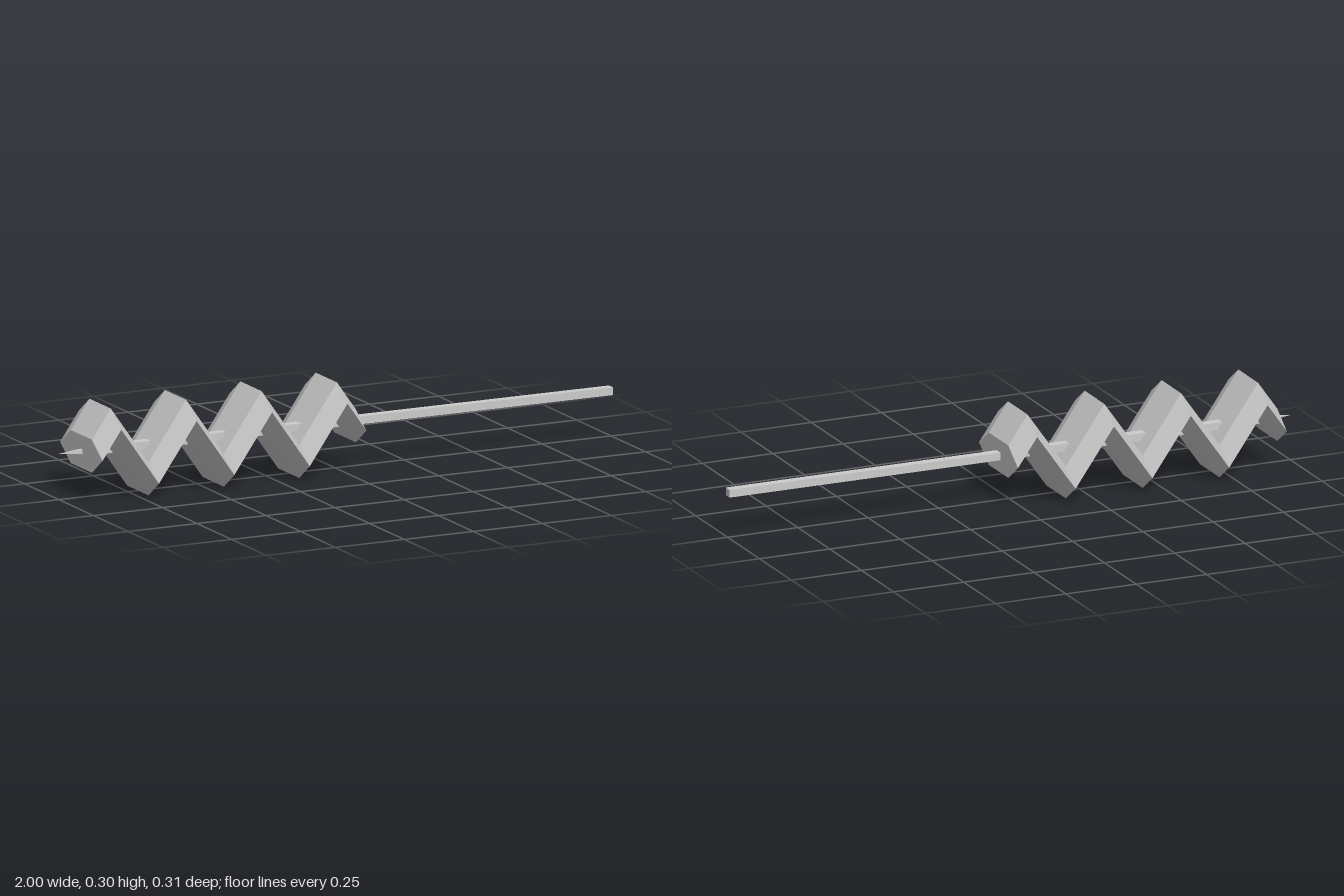
import * as THREE from 'three';

// Skin a series of equal-sized [x, y, z] rings (counter-clockwise seen from +x) and cap both ends
function loft(rings) {
  const pos = [];
  const tri = (a, b, c) => pos.push(...a, ...b, ...c);
  const n = rings[0].length;
  for (let i = 0; i < rings.length - 1; i++) {
    for (let j = 0; j < n; j++) {
      const k = (j + 1) % n;
      const a = rings[i][j], b = rings[i][k], c = rings[i + 1][k], d = rings[i + 1][j];
      tri(a, b, c);
      tri(a, c, d);
    }
  }
  const first = rings[0], last = rings[rings.length - 1];
  for (let j = 1; j < n - 1; j++) {
    tri(first[0], first[j + 1], first[j]);
    tri(last[0], last[j], last[j + 1]);
  }
  const geometry = new THREE.BufferGeometry();
  geometry.setAttribute('position', new THREE.Float32BufferAttribute(pos, 3));
  geometry.computeVertexNormals();
  return geometry;
}

export function createModel() {
  const group = new THREE.Group();
  const grey = new THREE.MeshStandardMaterial({ color: 0xcccccc });
  grey.name = 'lightGrey';
  const midY = 0.153;

  const add = (name, geometry) => {
    const mesh = new THREE.Mesh(geometry, grey);
    mesh.name = name;
    group.add(mesh);
  };

  // Hexagonal section carried along a zigzag: half a fold, seven extremes, half a fold
  const hexagon = [[0.055, -0.077], [0.055, 0.077], [0, 0.153],
    [-0.055, 0.077], [-0.055, -0.077], [0, -0.153]];
  const startX = -0.919, endX = 0.037, swing = 0.097;
  const step = (endX - startX) / 7;
  const path = [[startX, midY]];
  for (let i = 0; i < 7; i++) {
    path.push([startX + (i + 0.5) * step, midY + (i % 2 ? -swing : swing)]);
  }
  path.push([endX, midY]);
  add('zigzagFolds', loft(path.map(([x, cy]) => hexagon.map(([y, z]) => [x, cy + y, z]))));

  // Square skewer with a sharpened tip
  const square = [[1, -1], [1, 1], [-1, 1], [-1, -1]];
  const skewer = [[-1, 0.0005, 0.0005], [-0.85, 0.013, 0.015], [1, 0.013, 0.015]];
  add('skewer', loft(skewer.map(([x, h, w]) => square.map(([y, z]) => [x, midY + y * h, z * w]))));

  return group;
}
